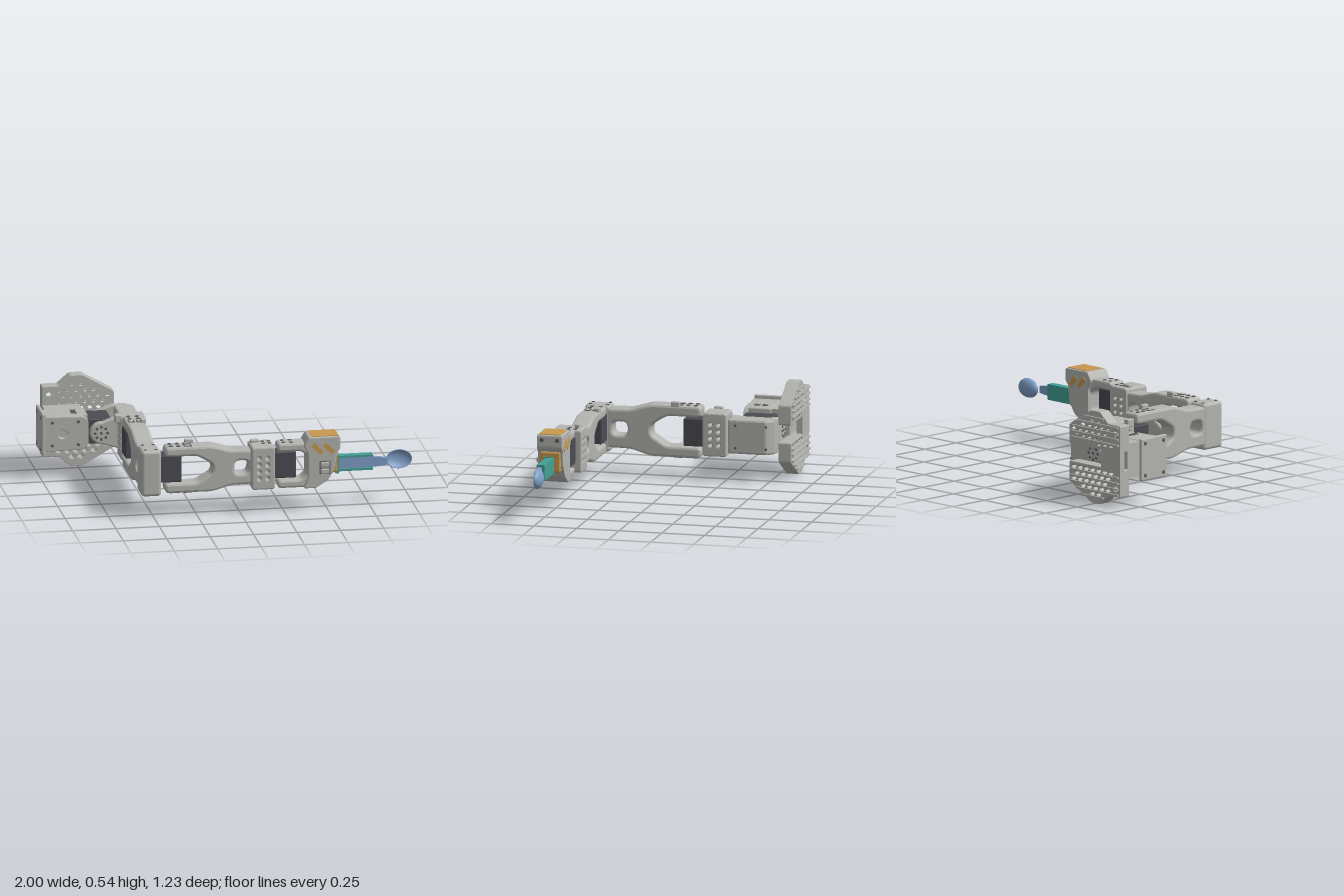
import * as THREE from 'three';
import { RoundedBoxGeometry } from 'three/addons/geometries/RoundedBoxGeometry.js';

const mat = (name, color, side = THREE.FrontSide) => {
  const m = new THREE.MeshStandardMaterial({ color, side });
  m.name = name;
  return m;
};
const grey = mat('printed grey', 0xb4b4b0);
const dark = mat('servo charcoal', 0x4b4b53);
const hole = mat('hole grey', 0x5e5e60);
const orange = mat('orange insert', 0xc8994f);
const teal = mat('teal grip', 0x44a096);
const blue = mat('spoon blue', 0x7f9fc8, THREE.DoubleSide);

const CY = 0.27; // height of the arm's centre line

function add(parent, name, geo, material, x = 0, y = 0, z = 0) {
  const m = new THREE.Mesh(geo, material);
  m.name = name;
  m.position.set(x, y, z);
  parent.add(m);
  return m;
}

// Box given by its limits, with optional rounding
function box(parent, name, material, [x0, x1], [y0, y1], [z0, z1], r = 0) {
  const s = [x1 - x0, y1 - y0, z1 - z0];
  const g = r ? new RoundedBoxGeometry(...s, 2, r) : new THREE.BoxGeometry(...s);
  return add(parent, name, g, material, (x0 + x1) / 2, (y0 + y1) / 2, (z0 + z1) / 2);
}

// Polygon with softened corners
function roundPoly(pts, r, Type = THREE.Shape) {
  const s = new Type();
  const v = pts.map(p => new THREE.Vector2(...p));
  v.forEach((p, i) => {
    const step = q => p.clone().add(q.clone().sub(p).setLength(Math.min(r, q.distanceTo(p) * 0.45)));
    const a = step(v[(i + v.length - 1) % v.length]), b = step(v[(i + 1) % v.length]);
    i ? s.lineTo(a.x, a.y) : s.moveTo(a.x, a.y);
    s.quadraticCurveTo(p.x, p.y, b.x, b.y);
  });
  s.closePath();
  return s;
}

// Plate of the given thickness, centred on z = 0
function plate(shape, depth, bevel = 0.012) {
  const g = new THREE.ExtrudeGeometry(shape, {
    depth: depth - 2 * bevel, bevelEnabled: bevel > 0, bevelThickness: bevel,
    bevelSize: bevel, bevelOffset: -bevel, bevelSegments: 2, curveSegments: 5 });
  return g.translate(0, 0, -depth / 2 + bevel);
}

const circle = (x, y, r) => new THREE.Path().absarc(x, y, r, 0, Math.PI * 2, true);

// Thin disc for a screw hole, facing along the chosen axis
function screw(parent, axis, x, y, z, r = 0.011) {
  const g = new THREE.CylinderGeometry(r, r, 0.006, 16);
  if (axis === 'x') g.rotateZ(Math.PI / 2);
  if (axis === 'z') g.rotateX(Math.PI / 2);
  add(parent, 'screwHole', g, hole, x, y, z);
}

// Fork link: prongs at u = 0, socket end at u = L
function makeLink(name, L, h, w) {
  const g = new THREE.Group();
  g.name = name;
  const k = h / 0.15, top = [
    [0, 0.088], [0, 0.15], [0.295, 0.15], [0.41, 0.115], [0.57, 0.112]];
  const half = top.map(([u, v]) => [u * L / 0.68, v * k]);
  const inner = [[0.2, 0.088], [0.295, 0.028]].map(([u, v]) => [u * L / 0.68, v * k]);
  const up = [...inner.slice().reverse(), ...half];
  const down = up.map(([u, v]) => [u, -v]).reverse();
  const shape = roundPoly([...up, ...down], 0.025);
  const a = 0.43 * L / 0.68, b = 0.52 * L / 0.68;
  shape.holes.push(roundPoly([[a, -0.04], [b, -0.04], [b, 0.04], [a, 0.04]], 0.035, THREE.Path));
  add(g, 'linkBody', plate(shape, w, 0.014), grey);
  for (const s of [1, -1]) {
    for (const u of [0.035, 0.078]) for (const z of [-0.025, 0.025]) screw(g, 'y', u, s * h, z, 0.012);
    for (const z of [-0.023, 0.023]) {
      box(g, 'slotRim', hole, [0.11, 0.155], [s * h - 0.003, s * h + 0.003], [z - 0.017, z + 0.017]);
      box(g, 'slotFloor', grey, [0.116, 0.149], [s * h - 0.0045, s * h + 0.0045], [z - 0.011, z + 0.011]);
    }
  }
  box(g, 'cableClip', grey, [0.125, 0.175], [h - 0.01, h + 0.022], [-w / 2 + 0.002, -w / 2 + 0.03], 0.006);
  return g;
}

// Servo socket pierced by two columns of four holes
function makeSocket(name, w, h, d) {
  const s = roundPoly([[-w / 2, -h / 2], [w / 2, -h / 2], [w / 2, h / 2], [-w / 2, h / 2]], 0.018);
  for (const x of [-0.024, 0.024]) for (let i = 0; i < 4; i++) s.holes.push(circle(x, -0.06 + i * 0.04, 0.009));
  const m = new THREE.Mesh(plate(s, d, 0.008), grey);
  m.name = name;
  return m;
}

// Perforated foot plate, its outline mirrored for the lower one
function makeFoot(root, s) {
  const M = 0.272;
  const out = [[-0.955, 0.05], [-0.955, 0.208], [-0.86, 0.208], [-0.79, 0.268], [-0.72, 0.268], [-0.54, 0.165], [-0.54, 0.05]];
  const inside = (x, y) => {
    let c = false;
    out.forEach(([ax, ay], i) => {
      const [bx, by] = out[(i + 1) % out.length];
      if ((ay > y) !== (by > y) && x < ax + (y - ay) * (bx - ax) / (by - ay)) c = !c;
    });
    return c;
  };
  const shape = roundPoly(out.map(([x, y]) => [x, M + s * y]), 0.01);
  shape.holes.push(circle(-0.917, M + s * 0.158, 0.018));
  for (let r = 0; r < 6; r++) {
    const y = 0.076 + r * 0.034;
    for (let c = 0; c < 9; c++) {
      const x = -0.93 + c * 0.05 + (r % 2) * 0.025;
      const clear = [[-0.033, 0], [0.033, 0], [0, 0.025], [0, -0.02], [0.025, 0.022], [-0.025, 0.022]].every(([a, b]) => inside(x + a, y + b));
      if (!clear || (x < -0.87 && y > 0.1)) continue;
      const hex = [[-0.019, 0], [-0.008, 0.011], [0.008, 0.011], [0.019, 0], [0.008, -0.011], [-0.008, -0.011]];
      shape.holes.push(new THREE.Path(hex.map(([a, b]) => new THREE.Vector2(x + a, M + s * (y + b)))));
    }
    // raised tread along the back, between the rows of holes
    const ty = y + 0.017, xs = [];
    for (let x = -0.945; x < -0.545; x += 0.01) if (inside(x, ty + 0.006)) xs.push(x);
    if (xs.length > 3) box(root, 'footTread', grey, [xs[0], xs[xs.length - 1]],
      [M + s * ty - 0.005, M + s * ty + 0.005], [-0.62, -0.6]);
  }
  add(root, 'footPlate', plate(shape, 0.073, 0.003), grey, 0, 0, -0.5735);
}

export function createModel() {
  const root = new THREE.Group();
  root.name = 'robotArm';

  // Base: two feet, bridge, servo housing and mounting flange
  makeFoot(root, 1);
  makeFoot(root, -1);
  box(root, 'footBridge', grey, [-0.955, -0.8], [0.2, 0.345], [-0.61, -0.575]);
  box(root, 'basePillar', grey, [-0.955, -0.74], [0.175, 0.37], [-0.55, -0.43]);
  box(root, 'housingRear', grey, [-0.98, -0.73], [0.17, 0.375], [-0.445, -0.31], 0.01);
  const face = roundPoly([[-0.98, 0.17], [-0.76, 0.175], [-0.73, 0.2], [-0.73, 0.345], [-0.76, 0.37], [-0.98, 0.375]], 0.015);
  const tear = new THREE.Path().absarc(-0.88, 0.27, 0.026, Math.PI * 0.25, Math.PI * 1.75, false);
  tear.lineTo(-0.843, 0.27);
  tear.closePath();
  face.holes.push(tear);
  add(root, 'housingFace', plate(face, 0.05, 0.004), grey, 0, 0, -0.305);
  for (const y of [0.205, 0.34]) for (const x of [-0.94, -0.79]) screw(root, 'z', x, y, -0.279, 0.009);
  box(root, 'mountingFlange', grey, [-1, -0.978], [0.15, 0.395], [-0.485, -0.28], 0.008);
  for (const y of [0.18, 0.365]) for (const z of [-0.455, -0.31]) screw(root, 'x', -0.9995, y, z);
  for (const z of [-0.39, -0.345]) {
    box(root, 'housingSlotRim', hole, [-0.82, -0.79], [0.37, 0.378], [z - 0.016, z + 0.016]);
  }
  box(root, 'baseServo', dark, [-0.785, -0.595], [0.2, 0.345], [-0.48, -0.3], 0.006);

  // Shoulder bracket: spine with a tapered prong on either side of the servo
  const spine = roundPoly([[-0.55, 0.265], [-0.435, 0.265], [-0.435, 0.49], [-0.48, 0.535], [-0.55, 0.535]], 0.012);
  const spineGeo = plate(spine, 0.2, 0.012).rotateX(-Math.PI / 2);
  add(root, 'bracketSpine', spineGeo, grey, 0, CY - 0.005, 0);
  const prong = new THREE.Shape();
  prong.moveTo(-0.48, -0.095).lineTo(-0.48, 0.095).lineTo(-0.56, 0.095).lineTo(-0.65, 0.063);
  prong.absarc(-0.66, 0, 0.063, Math.PI / 2, Math.PI * 1.5, false);
  prong.lineTo(-0.56, -0.095);
  for (const z of [-0.2875, -0.5125]) {
    add(root, 'bracketProng', plate(prong, 0.045, 0.008), grey, 0, CY, z);
    for (let i = 0; i < 9; i++) {
      const a = i * Math.PI / 4, r = i === 8 ? 0 : 0.036;
      screw(root, 'z', -0.66 + r * Math.cos(a), CY + r * Math.sin(a), z + (z > -0.4 ? 0.0225 : -0.0225), 0.008);
    }
  }
  for (const y of [0.2, 0.33]) for (const z of [-0.49, -0.31]) screw(root, 'x', -0.435, y, z, 0.007);

  // Shoulder socket and servo
  const socket = makeSocket('shoulderSocket', 0.14, 0.25, 0.145);
  socket.rotation.y = Math.PI / 2;
  socket.position.set(-0.4975, CY, -0.19);
  root.add(socket);
  box(root, 'shoulderClip', grey, [-0.6, -0.565], [0.36, 0.405], [-0.2, -0.15], 0.006);
  box(root, 'shoulderServo', dark, [-0.565, -0.46], [0.19, 0.35], [-0.14, 0], 0.006);

  // Upper link runs forward, with the elbow socket at its end
  const upper = makeLink('upperLink', 0.68, 0.15, 0.11);
  upper.rotation.y = -Math.PI / 2;
  upper.position.set(-0.515, CY, -0.1);
  root.add(upper);
  box(root, 'elbowSocket', grey, [-0.573, -0.458], [0.13, 0.4], [0.43, 0.58], 0.02);
  for (const z of [0.45, 0.55]) for (const x of [-0.545, -0.485]) screw(root, 'y', x, 0.4, z, 0.009);
  box(root, 'elbowServo', dark, [-0.48, -0.335], [0.2, 0.36], [0.447, 0.545], 0.006);

  // Forearm runs sideways to the wrist socket
  const fore = makeLink('forearmLink', 0.63, 0.135, 0.11);
  fore.position.set(-0.43, CY, 0.495);
  root.add(fore);
  const wristSocket = makeSocket('wristSocket', 0.135, 0.25, 0.165);
  wristSocket.position.set(0.1275, CY, 0.5125);
  root.add(wristSocket);
  box(root, 'wristClip', grey, [0.07, 0.12], [0.385, 0.412], [0.46, 0.49], 0.006);
  for (const x of [0.14, 0.175]) for (const z of [0.47, 0.51]) screw(root, 'y', x, 0.395, z, 0.01);
  box(root, 'wristServo', dark, [0.18, 0.32], [0.2, 0.355], [0.465, 0.565], 0.006);

  // Wrist: fork and tool holder
  const fork = roundPoly([[0.215, 0.355], [0.215, 0.402], [0.43, 0.402], [0.43, 0.14], [0.215, 0.14], [0.215, 0.185],
    [0.35, 0.185], [0.385, 0.22], [0.385, 0.32], [0.35, 0.355]], 0.02);
  add(root, 'wristFork', plate(fork, 0.11), grey, 0, 0, 0.515);
  for (const y of [0.402, 0.14]) for (const x of [0.25, 0.295]) for (const z of [0.49, 0.54]) screw(root, 'y', x, y, z);
  const holder = roundPoly([[0.39, 0.44], [0.57, 0.44], [0.57, 0.365], [0.548, 0.34], [0.54, 0.25], [0.5, 0.185],
    [0.43, 0.14], [0.36, 0.14], [0.385, 0.2], [0.385, 0.34], [0.36, 0.39]], 0.012);
  add(root, 'toolHolder', plate(holder, 0.15, 0.006), grey, 0, 0, 0.52);
  box(root, 'insertTop', orange, [0.408, 0.56], [0.436, 0.443], [0.457, 0.582]);
  box(root, 'insertFront', orange, [0.49, 0.558], [0.222, 0.34], [0.46, 0.58], 0.01);
  for (const z of [0.4445, 0.5955]) for (const x of [0.437, 0.503]) {
    const slot = box(root, 'insertSlot', orange, [x - 0.036, x + 0.036], [0.358, 0.386], [z - 0.003, z + 0.003]);
    slot.rotation.z = -Math.PI / 4;
  }
  for (const y of [0.24, 0.28]) {
    box(root, 'holderClip', grey, [0.455, 0.505], [y - 0.014, y + 0.014], [0.59, 0.613], 0.005);
    box(root, 'holderClipRim', hole, [0.449, 0.511], [y - 0.018, y + 0.018], [0.593, 0.598]);
  }
  for (const z of [0.475, 0.565]) screw(root, 'x', 0.57, 0.41, z, 0.012);

  // Grip: channel open at the front, with the spoon handle inside
  box(root, 'gripFlange', teal, [0.55, 0.568], [0.208, 0.312], [0.497, 0.556]);
  box(root, 'gripBack', teal, [0.56, 0.765], [0.217, 0.308], [0.497, 0.514]);
  for (const y of [0.217, 0.295]) box(root, 'gripRail', teal, [0.56, 0.765], [y, y + 0.013], [0.497, 0.542]);
  const handle = new THREE.Shape([[0.56, 0.23], [0.765, 0.232], [0.85, 0.242], [0.85, 0.282], [0.765, 0.293], [0.56, 0.295]]
    .map(p => new THREE.Vector2(...p)));
  add(root, 'spoonHandle', plate(handle, 0.023, 0), blue, 0, 0, 0.525);

  // Spoon bowl, hollow towards the front
  const bowl = new THREE.SphereGeometry(1, 32, 12, 0, Math.PI * 2, 0, Math.PI / 2).rotateX(-Math.PI / 2).scale(0.075, 0.056, 0.036);
  add(root, 'spoonBowl', bowl, blue, 0.923, 0.262, 0.501);
  const rim = new THREE.TorusGeometry(1, 0.04, 6, 32).scale(0.073, 0.054, 0.06);
  add(root, 'spoonRim', rim, blue, 0.923, 0.262, 0.501);
  return root;
}
